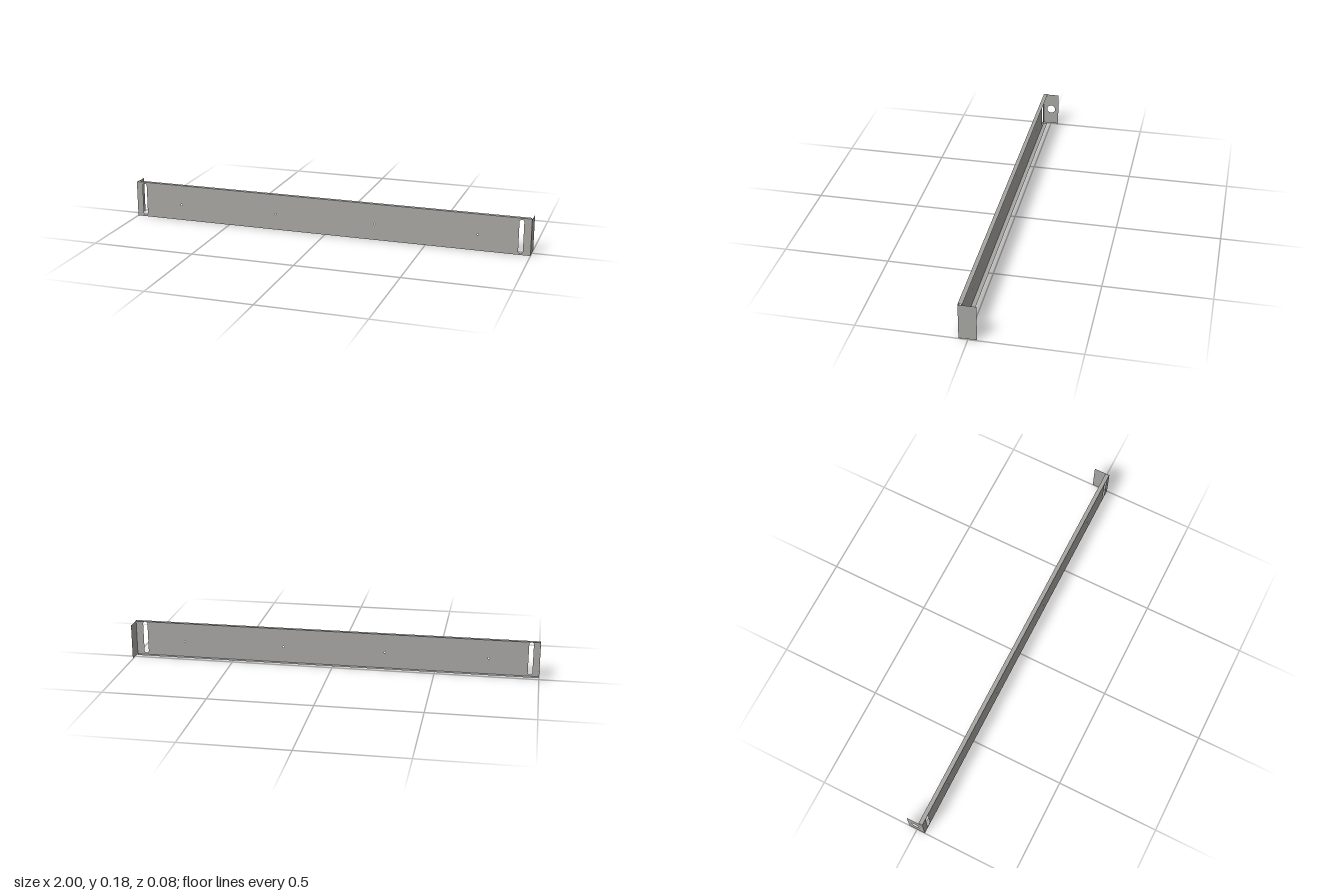
import * as THREE from 'three';

const HEIGHT = 0.179, FRONT = 0.041, LIP_BACK = 0.021, BACK = -0.04;

// Rectangle outline for a sheet panel
function rect(x0, y0, x1, y1) {
  return new THREE.Shape([
    new THREE.Vector2(x0, y0), new THREE.Vector2(x1, y0),
    new THREE.Vector2(x1, y1), new THREE.Vector2(x0, y1),
  ]);
}

function roundHole(x, y, r) {
  return new THREE.Path().absarc(x, y, r, 0, Math.PI * 2, true);
}

// Upright slot with rounded ends
function slotHole(x, y0, y1, r) {
  const p = new THREE.Path();
  p.absarc(x, y1 - r, r, 0, Math.PI, false);
  p.absarc(x, y0 + r, r, Math.PI, Math.PI * 2, false);
  p.closePath();
  return p;
}

export function createModel() {
  const group = new THREE.Group();
  group.name = 'mountingRail';
  const steel = new THREE.MeshStandardMaterial({ color: 0xa5a4a1, side: THREE.DoubleSide });
  steel.name = 'grey sheet steel';

  const addPanel = (name, shape) => {
    const mesh = new THREE.Mesh(new THREE.ShapeGeometry(shape, 16), steel);
    mesh.name = name;
    group.add(mesh);
    return mesh;
  };

  // Face with end slots and a row of screw holes
  const face = rect(-1, 0, 1, HEIGHT);
  for (const x of [-0.957, 0.953]) face.holes.push(slotHole(x, 0.008, 0.172, 0.011));
  for (const x of [-0.757, -0.254, 0.249, 0.751]) face.holes.push(roundHole(x, 0.08, 0.004));
  addPanel('facePlate', face).position.z = FRONT;

  // Short lips folded back along the top and bottom edges
  for (const [name, y] of [['topLip', HEIGHT], ['bottomLip', 0]]) {
    const lip = addPanel(name, rect(-0.998, LIP_BACK, 0.998, FRONT));
    lip.rotation.x = Math.PI / 2;
    lip.position.y = y;
  }

  // Deeper end flanges; only the -x one has a cable hole
  for (const side of [-1, 1]) {
    const flange = rect(-FRONT, 0.003, -BACK, 0.176);
    if (side < 0) flange.holes.push(roundHole(0, 0.089, 0.022));
    const mesh = addPanel(side < 0 ? 'rightEndFlange' : 'leftEndFlange', flange);
    mesh.rotation.y = Math.PI / 2;
    mesh.position.x = side;
  }
  return group;
}
